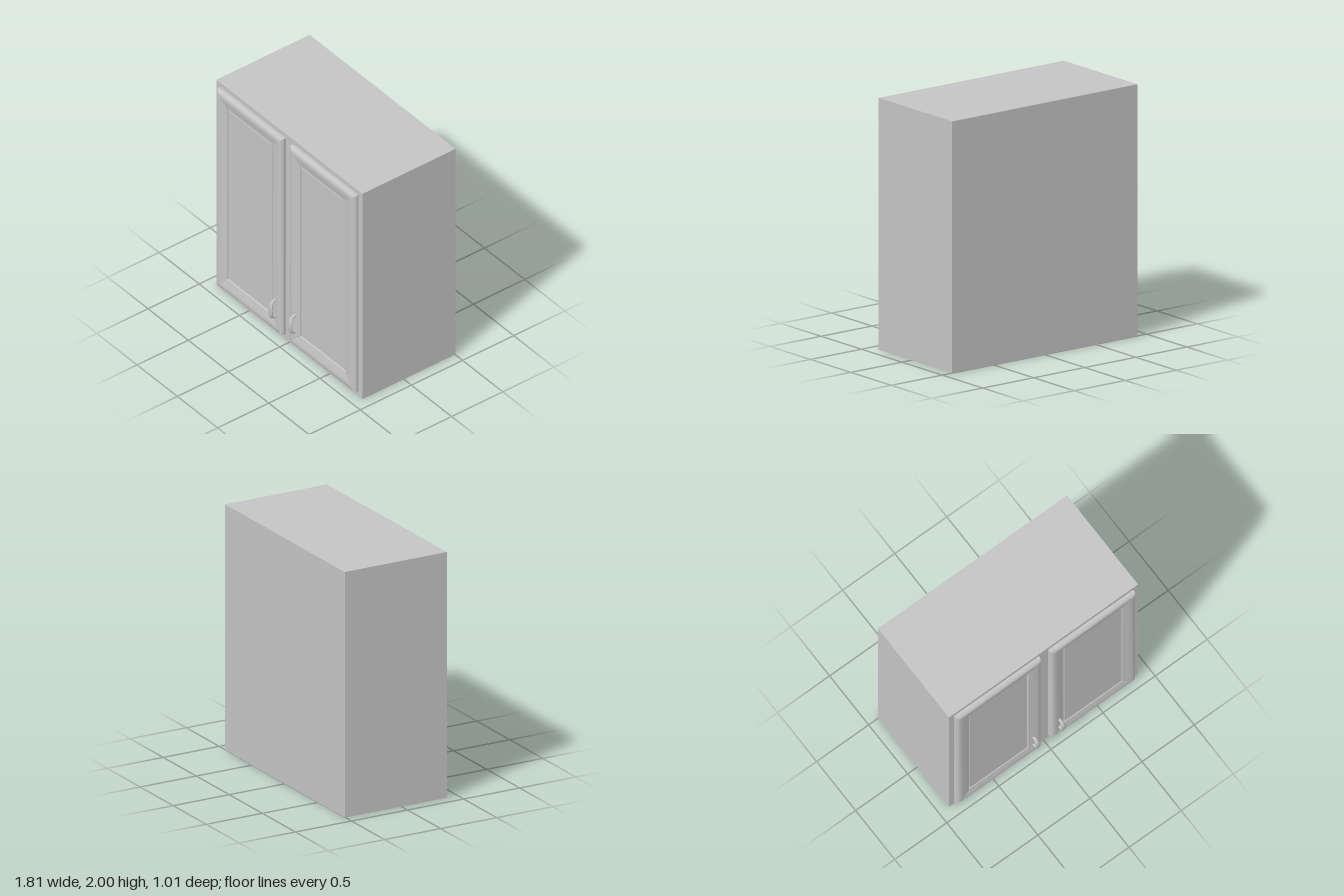
import * as THREE from 'three';

const grey = new THREE.MeshStandardMaterial({ color: 0xc4c4c4 });
grey.name = 'paintedGrey';

function buildIndexed(positions, indices) {
  const geo = new THREE.BufferGeometry();
  geo.setAttribute('position', new THREE.Float32BufferAttribute(positions, 3));
  geo.setIndex(indices);
  geo.computeVertexNormals();
  return geo;
}

function mesh(name, geo) {
  const m = new THREE.Mesh(geo, grey);
  m.name = name;
  return m;
}

// Moulded frame: a profile of [inset, z] run round a rectangle with mitred corners.
// A repeated profile point makes a hard edge.
function frameGeometry(w, h, profile) {
  const corners = [[-1, -1], [1, -1], [1, 1], [-1, 1]];
  const pos = [], idx = [];
  for (let k = 0; k < 4; k++) {
    const base = pos.length / 3;
    for (const [inset, z] of profile) {
      for (const [sx, sy] of [corners[k], corners[(k + 1) % 4]]) {
        pos.push(sx * (w / 2 - inset), sy * (h / 2 - inset), z);
      }
    }
    for (let i = 0; i < profile.length - 1; i++) {
      const [p, q] = [profile[i], profile[i + 1]];
      if (p[0] === q[0] && p[1] === q[1]) continue;
      const a = base + i * 2;
      idx.push(a, a + 1, a + 3, a, a + 3, a + 2);
    }
  }
  return buildIndexed(pos, idx);
}

// Bow handle: elliptical sections along an arched path in the y-z plane
function handleGeometry() {
  // [y offset, z, half thickness, half width]
  const half = [
    [0.079, 0.0, 0.012, 0.013],
    [0.077, 0.022, 0.012, 0.013],
    [0.066, 0.042, 0.011, 0.016],
    [0.038, 0.05, 0.01, 0.023],
  ];
  const path = [
    ...half.map(([y, ...r]) => [-y, ...r]),
    [0, 0.053, 0.01, 0.027],
    ...half.slice().reverse(),
  ];
  const sides = 12, pos = [], idx = [];
  path.forEach(([y, z, t, w], i) => {
    const a = path[Math.max(i - 1, 0)], b = path[Math.min(i + 1, path.length - 1)];
    const len = Math.hypot(b[0] - a[0], b[1] - a[1]);
    const ty = (b[0] - a[0]) / len, tz = (b[1] - a[1]) / len;
    for (let j = 0; j < sides; j++) {
      const ang = (j / sides) * Math.PI * 2;
      const s = Math.sin(ang) * t;
      pos.push(Math.cos(ang) * w, y - tz * s, z + ty * s);
      if (i === path.length - 1) continue;
      const p = i * sides + j, q = i * sides + (j + 1) % sides;
      idx.push(p, p + sides, q + sides, p, q + sides, q);
    }
  });
  return buildIndexed(pos, idx);
}

export function createModel() {
  const group = new THREE.Group();
  group.name = 'wallCabinet';

  // Cabinet carcass
  const body = mesh('cabinetBody', new THREE.BoxGeometry(1.814, 2, 0.91));
  body.position.set(0, 1, -0.05);
  group.add(body);

  // Door: square edge, rounded rim, long slope inwards and a small step to the panel
  const W = 0.815, H = 1.91;
  const profile = [
    [0, 0], [0, 0.022], [0, 0.022],
    [0.008, 0.034], [0.02, 0.042], [0.036, 0.045], [0.055, 0.044],
    [0.085, 0.038], [0.11, 0.032], [0.124, 0.03], [0.124, 0.03],
    [0.128, 0.02], [0.128, 0.02], [0.133, 0.02], [0.133, 0.02], [0.136, 0.026],
  ];
  const frameGeo = frameGeometry(W, H, profile);
  const panelGeo = new THREE.PlaneGeometry(W - 0.272, H - 0.272);
  const handleGeo = handleGeometry();

  for (const [side, s] of [['left', 1], ['right', -1]]) {
    const door = new THREE.Group();
    door.name = side + 'Door';
    door.position.set(s * 0.4525, 1.005, 0.405);
    const panel = mesh(side + 'DoorPanel', panelGeo);
    panel.position.z = 0.026;
    const handle = mesh(side + 'Handle', handleGeo);
    handle.position.set(-s * 0.33, -0.727, 0.037);
    door.add(mesh(side + 'DoorFrame', frameGeo), panel, handle);
    group.add(door);
  }
  return group;
}
